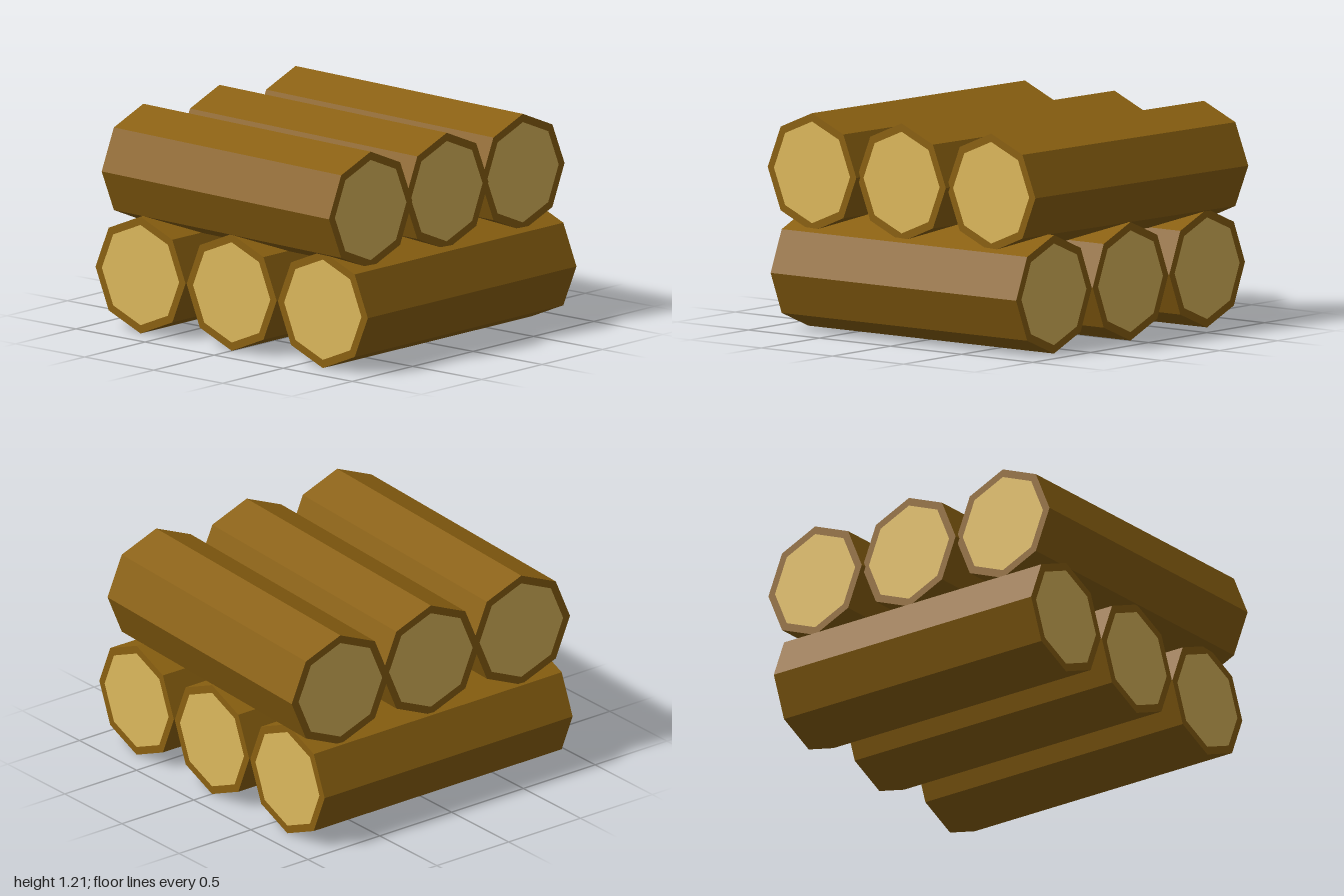
import * as THREE from 'three';

const RADIUS = 0.326, CAP_RADIUS = 0.28, LENGTH = 1.727, SIDES = 8;

export function createModel() {
  const bark = new THREE.MeshStandardMaterial({ color: 0x8a6010, flatShading: true });
  bark.name = 'bark';
  const cutWood = new THREE.MeshStandardMaterial({ color: 0xdcb85c, flatShading: true });
  cutWood.name = 'cutWood';

  // Octagonal log along z, with a corner pointing up
  const sideGeo = new THREE.CylinderGeometry(RADIUS, RADIUS, LENGTH, SIDES, 1, true).rotateX(Math.PI / 2);
  const rimGeo = new THREE.RingGeometry(CAP_RADIUS, RADIUS, SIDES);
  const capGeo = new THREE.CircleGeometry(CAP_RADIUS, SIDES);

  function makeLog(name, x, y, z, turn) {
    const log = new THREE.Group();
    log.name = name;
    const add = (part, geo, mat) => {
      const mesh = new THREE.Mesh(geo, mat);
      mesh.name = part;
      log.add(mesh);
      return mesh;
    };
    add('barkSide', sideGeo, bark);
    // Bark rim and pale cut face at both ends
    for (const end of [1, -1]) {
      for (const mesh of [add('barkRim', rimGeo, bark), add('cutFace', capGeo, cutWood)]) {
        mesh.position.z = end * LENGTH / 2;
        mesh.rotation.y = end > 0 ? 0 : Math.PI;
      }
    }
    log.position.set(x, y, z);
    log.rotation.y = turn;
    return log;
  }

  const model = new THREE.Group();
  model.name = 'logPile';
  for (const i of [-1, 0, 1]) {
    // Lower row lies across, upper row runs front to back, slightly askew
    model.add(makeLog('lowerLog', 0.009, RADIUS, i * 0.66, Math.PI / 2));
    model.add(makeLog('upperLog', i * 0.63, 0.88, -0.013, -0.052));
  }
  return model;
}
